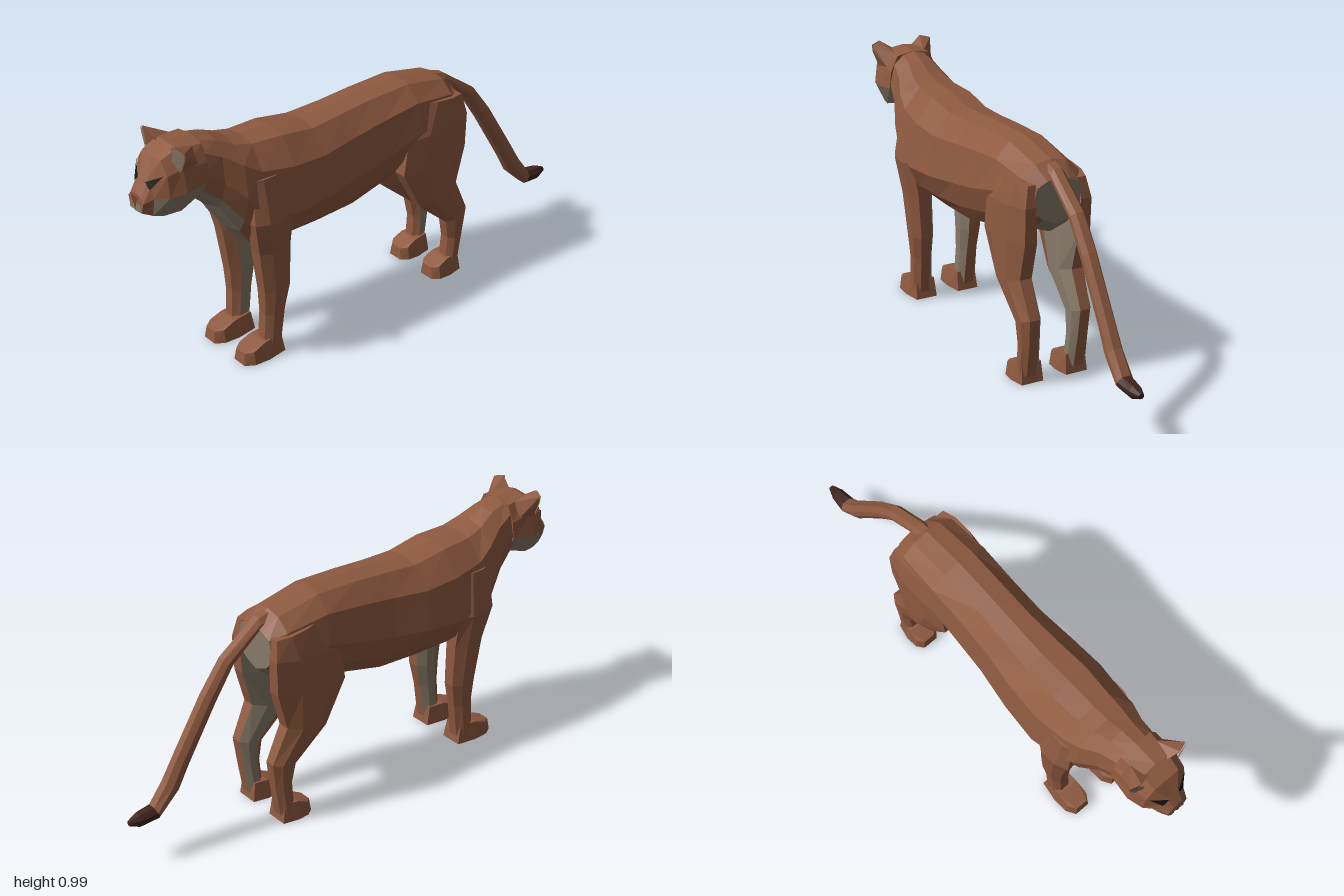
import * as THREE from 'three';
import { ConvexGeometry } from 'three/addons/geometries/ConvexGeometry.js';

const mat = (color, side = THREE.FrontSide) =>
  new THREE.MeshStandardMaterial({ color, flatShading: true, side });
const FUR = mat(0x8f5a40), PALE = mat(0x877a68), TIP = mat(0x3f241c), SOLE = mat(0x4c463c);
const EYE = mat(0x17130f, THREE.DoubleSide), NOSE = mat(0x7a3c2e, THREE.DoubleSide);
const EAR = mat(0x877a68, THREE.DoubleSide), LIP = mat(0x877a68, THREE.DoubleSide);

function trisToMesh(tris, material, name) {
  const g = new THREE.BufferGeometry();
  g.setAttribute('position', new THREE.Float32BufferAttribute(tris.flat(2), 3));
  g.computeVertexNormals();
  const m = new THREE.Mesh(g, material);
  m.name = name;
  return m;
}

// Skin through a list of rings, capped at both ends; pick(ring, column) chooses the material
function loft(name, rings, pick) {
  const n = rings[0].length, last = rings.length - 1, tris = [];
  const add = (m, a, b, c) => tris.push({ m, t: [a, b, c] });
  for (let i = 0; i < last; i++) for (let j = 0; j < n; j++) {
    const k = (j + 1) % n, m = pick(i, j);
    add(m, rings[i][j], rings[i + 1][j], rings[i + 1][k]);
    add(m, rings[i][j], rings[i + 1][k], rings[i][k]);
  }
  for (const i of [0, last]) {
    const r = rings[i], mid = [0, 1, 2].map(a => r.reduce((s, p) => s + p[a], 0) / n);
    for (let j = 0; j < n; j++) {
      const k = (j + 1) % n, m = pick(i === 0 ? -1 : last, j);
      if (i === 0) add(m, mid, r[j], r[k]); else add(m, mid, r[k], r[j]);
    }
  }
  // Turn the faces outward whichever way the rings run
  const v = new THREE.Vector3(), w = new THREE.Vector3();
  const volume = tris.reduce((s, { t: [a, b, c] }) =>
    s + v.fromArray(a).dot(w.fromArray(b).cross(new THREE.Vector3(...c))), 0);
  if (volume < 0) tris.forEach(({ t }) => t.reverse());
  const group = new THREE.Group();
  group.name = name;
  for (const m of new Set(tris.map(t => t.m)))
    group.add(trisToMesh(tris.filter(t => t.m === m).map(t => t.t), m, name + (m === PALE ? 'Underside' : 'Coat')));
  return group;
}

// Complete a half section by mirroring it in x
const mirrorRing = half => [...half, ...half.slice(1, -1).reverse().map(([x, y, z]) => [-x, y, z])];
const column = (j, n) => Math.min(j, n - 1 - j);

function body() {
  // z at top, z at bottom, top, half width, height of widest point, bottom, belly half width
  const rows = [
    [-0.42, -0.42, 0.80, 0.10, 0.72, 0.62, 0.06],
    [-0.36, -0.36, 0.85, 0.14, 0.70, 0.57, 0.07],
    [-0.18, -0.20, 0.885, 0.15, 0.70, 0.54, 0.08],
    [0.00, -0.08, 0.88, 0.15, 0.66, 0.49, 0.08],
    [0.14, 0.10, 0.87, 0.155, 0.63, 0.45, 0.085],
    [0.28, 0.28, 0.862, 0.175, 0.61, 0.445, 0.09],
    [0.42, 0.44, 0.885, 0.183, 0.60, 0.445, 0.09],
    [0.55, 0.58, 0.89, 0.165, 0.64, 0.46, 0.085],
    [0.62, 0.635, 0.91, 0.15, 0.72, 0.54, 0.10],
    [0.69, 0.71, 0.945, 0.115, 0.79, 0.66, 0.085],
    [0.76, 0.80, 0.965, 0.10, 0.85, 0.745, 0.065],
  ];
  const rings = rows.map(([zt, zb, top, w, yw, bot, wb]) => mirrorRing([
    [0, top], [0.45 * w, top - 0.012], [0.84 * w, top - (top - yw) * 0.38], [w, yw],
    [w * 0.55 + wb * 0.45, yw + (bot - yw) * 0.55], [wb, bot + 0.025], [0, bot],
  ].map(([x, y]) => [x, y, zt + (zb - zt) * (top - y) / (top - bot)])));
  return loft('body', rings, (i, j) =>
    i < 0 || column(j, 12) >= (i >= 8 ? 4 : 5) ? PALE : FUR);
}

function head() {
  // Half sections from crown to chin at each z
  const rows = [
    [0.76, [[0, 0.965], [0.07, 0.952], [0.10, 0.89], [0.108, 0.82], [0.06, 0.755], [0, 0.745]]],
    [0.86, [[0, 0.968], [0.06, 0.96], [0.10, 0.90], [0.118, 0.81], [0.075, 0.725], [0, 0.72]]],
    [0.92, [[0, 0.93], [0.055, 0.935], [0.09, 0.885], [0.10, 0.805], [0.06, 0.72], [0, 0.71]]],
    [0.96, [[0, 0.865], [0.025, 0.865], [0.045, 0.84], [0.06, 0.80], [0.05, 0.73], [0, 0.715]]],
    [0.995, [[0, 0.812], [0.02, 0.81], [0.033, 0.80], [0.045, 0.785], [0.035, 0.745], [0, 0.74]]],
  ];
  const rings = rows.map(([z, half]) => mirrorRing(half.map(([x, y]) => [x, y, z])));
  const group = loft('head', rings, (i, j) => column(j, 10) >= (i > 2 ? 4 : 3) ? PALE : FUR);

  group.add(trisToMesh([[[-0.02, 0.802, 1], [0, 0.752, 1], [0.02, 0.802, 1]]], NOSE, 'nose'));
  for (const s of [1, -1]) {
    const side = s > 0 ? 'left' : 'right';
    const flip = pts => pts.map(([x, y, z]) => [s * x, y, z]);
    group.add(trisToMesh([flip([[0.02, 0.853, 0.969], [0.083, 0.888, 0.93], [0.048, 0.832, 0.966]])], EYE, side + 'Eye'));
    group.add(trisToMesh([flip([[0.024, 0.785, 0.998], [0.036, 0.748, 0.998], [0.012, 0.745, 0.998]])], LIP, side + 'Lip'));
    const a = [0.09, 0.988, 0.885], b = [0.13, 0.978, 0.87], c = [0.128, 0.95, 0.868], d = [0.103, 0.89, 0.87];
    const ear = flip([a, b, c, d, [0.04, 0.955, 0.87], [0.06, 0.95, 0.79], [0.1, 0.9, 0.80]]);
    const shell = new THREE.Mesh(new ConvexGeometry(ear.map(p => new THREE.Vector3(...p))), FUR);
    shell.name = side + 'Ear';
    group.add(shell);
    // Pale hollow of the ear
    const fan = flip([[0.078, 0.93, 0.885], a, b, c, d]).map(([x, y, z]) => [x, y, z + 0.006]);
    group.add(trisToMesh([1, 2, 3].map(k => [fan[0], fan[k], fan[k + 1]]), EAR, side + 'InnerEar'));
  }
  return group;
}

// Leg rows: front y, front z, back y, back z, inner x, outer x
const FRONT_LEG = [
  [0.77, 0.60, 0.77, 0.47, 0.09, 0.152],
  [0.60, 0.61, 0.60, 0.44, 0.09, 0.185],
  [0.46, 0.58, 0.46, 0.44, 0.062, 0.165],
  [0.28, 0.555, 0.28, 0.44, 0.062, 0.153],
  [0.18, 0.55, 0.18, 0.46, 0.065, 0.142],
  [0.03, 0.56, 0.03, 0.48, 0.06, 0.14],
];
const HIND_LEG = [
  [0.80, -0.22, 0.78, -0.41, 0.07, 0.135],
  [0.67, -0.13, 0.70, -0.425, 0.07, 0.158],
  [0.53, -0.11, 0.56, -0.42, 0.06, 0.16],
  [0.36, -0.20, 0.41, -0.38, 0.06, 0.158],
  [0.24, -0.34, 0.27, -0.445, 0.065, 0.147],
  [0.16, -0.355, 0.15, -0.43, 0.065, 0.14],
  [0.03, -0.345, 0.03, -0.41, 0.06, 0.14],
];
const OCTAGON = [[0.25, 0], [0.75, 0], [1, 0.3], [1, 0.7], [0.75, 1], [0.25, 1], [0, 0.7], [0, 0.3]];

function leg(name, rows, s, z0, z1) {
  const rings = rows.map(([yf, zf, yb, zb, xi, xo]) => OCTAGON.map(([u, v]) =>
    [s * (xi + (xo - xi) * u), yf + (yb - yf) * v, zf + (zb - zf) * v]));
  const group = loft(name, rings, (i, j) => j === 5 || j === 6 ? PALE : FUR);

  // Paw: wide sole, rounded toes, narrower top
  const x = s * 0.094, len = z1 - z0, pts = [];
  const outline = [[0.045, 0], [0.058, 0.45], [0.054, 0.8], [0.032, 1]];
  for (const m of [1, -1]) {
    for (const [w, t] of outline) pts.push([x + m * w, 0.002, z0 + len * t]);
    for (const [w, y, t] of [[0.04, 0.08, 0.08], [0.044, 0.075, 0.5], [0.046, 0.055, 0.8], [0.025, 0.05, 0.97]])
      pts.push([x + m * w, y, z0 + len * t]);
  }
  const paw = new THREE.Mesh(new ConvexGeometry(pts.map(p => new THREE.Vector3(...p))), FUR);
  paw.name = name + 'Paw';
  const shape = new THREE.Shape([...outline, ...outline.map(([w, t]) => [-w, t]).reverse()]
    .map(([w, t]) => new THREE.Vector2(x + w, z0 + len * t)));
  const sole = new THREE.Mesh(new THREE.ShapeGeometry(shape).rotateX(Math.PI / 2), SOLE);
  sole.name = name + 'Sole';
  group.add(paw, sole);
  return group;
}

function tail() {
  // Upper z, y then lower z, y, and half width
  const rows = [
    [-0.33, 0.85, -0.36, 0.77, 0.035],
    [-0.41, 0.83, -0.42, 0.77, 0.03],
    [-0.57, 0.715, -0.53, 0.68, 0.03],
    [-0.66, 0.595, -0.61, 0.56, 0.03],
    [-0.79, 0.385, -0.74, 0.345, 0.03],
    [-0.84, 0.30, -0.79, 0.255, 0.032],
    [-0.90, 0.22, -0.88, 0.17, 0.033],
    [-0.96, 0.213, -0.96, 0.163, 0.025],
    [-1.0, 0.198, -1.0, 0.178, 0.01],
  ];
  const rings = rows.map(([zu, yu, zl, yl, w]) => [
    [0.5, 0], [1, 0.35], [1, 0.65], [0.5, 1], [-0.5, 1], [-1, 0.65], [-1, 0.35], [-0.5, 0],
  ].map(([u, t]) => [u * w, yu + (yl - yu) * t, zu + (zl - zu) * t]));
  return loft('tail', rings, i => i >= 6 ? TIP : FUR);
}

export function createModel() {
  const model = new THREE.Group();
  model.name = 'bigCat';
  model.add(body(), head(), tail());
  for (const s of [1, -1]) {
    const side = s > 0 ? 'left' : 'right';
    model.add(leg(side + 'FrontLeg', FRONT_LEG, s, 0.475, 0.655));
    model.add(leg(side + 'HindLeg', HIND_LEG, s, -0.41, -0.27));
  }
  return model;
}
